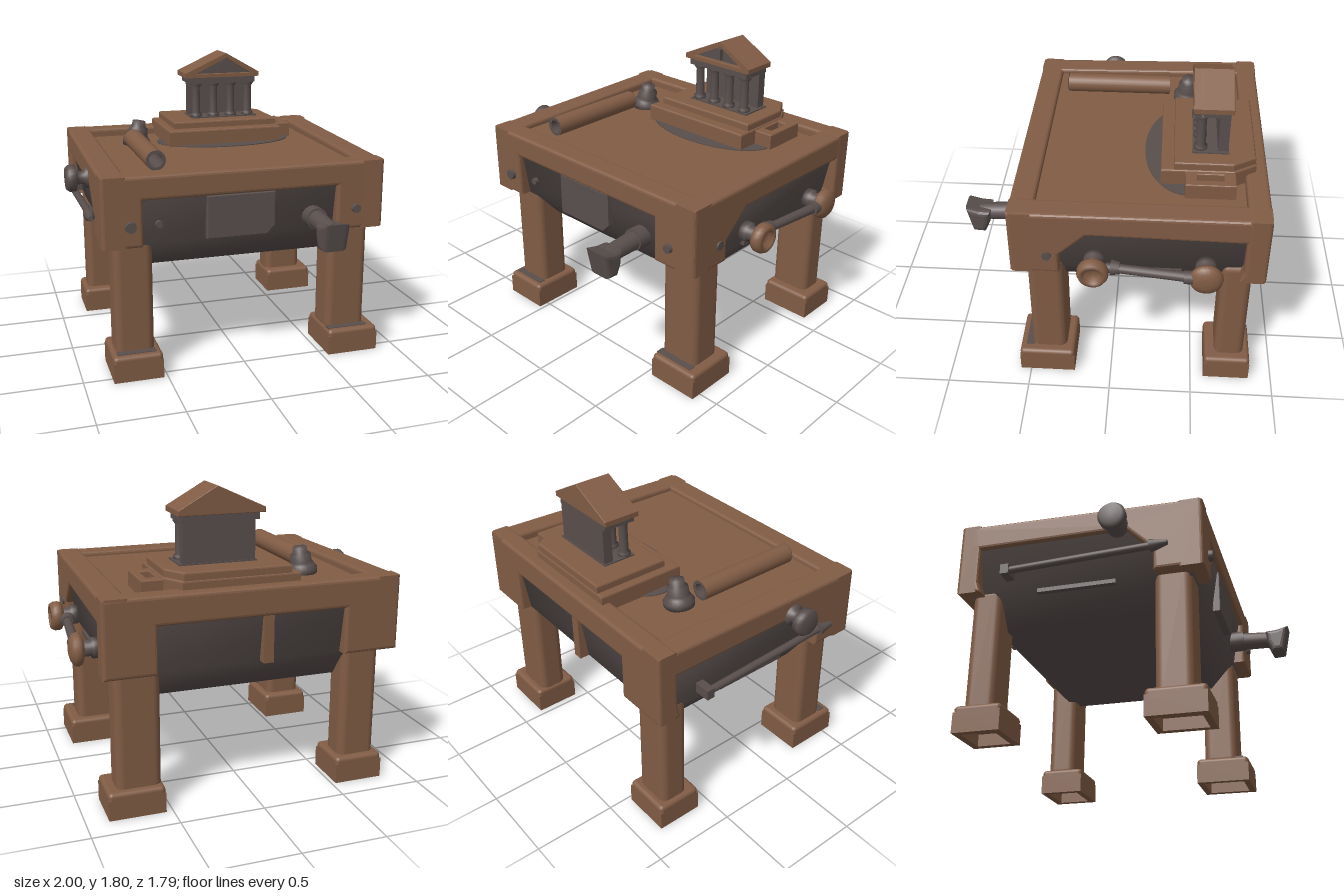
import * as THREE from 'three';
import { RoundedBoxGeometry } from 'three/addons/geometries/RoundedBoxGeometry.js';

const wood = new THREE.MeshStandardMaterial({ color: 0x815c45 });
wood.name = 'brown wood';
const iron = new THREE.MeshStandardMaterial({ color: 0x594f4d, side: THREE.DoubleSide });
iron.name = 'grey iron';

const V = (x, y, z) => new THREE.Vector3(x, y, z);

export function createModel() {
  const model = new THREE.Group();
  model.name = 'table';

  const add = (name, geo, mat, x = 0, y = 0, z = 0) => {
    const m = new THREE.Mesh(geo, mat);
    m.name = name;
    m.position.set(x, y, z);
    model.add(m);
    return m;
  };
  // box given by its limits, optionally rounded
  const box = (name, mat, x0, x1, y0, y1, z0, z1, r = 0) => {
    const s = [x1 - x0, y1 - y0, z1 - z0];
    const geo = r ? new RoundedBoxGeometry(...s, 3, r) : new THREE.BoxGeometry(...s);
    return add(name, geo, mat, (x0 + x1) / 2, (y0 + y1) / 2, (z0 + z1) / 2);
  };
  const shape = (pts) => new THREE.Shape(pts.map((p) => new THREE.Vector2(...p)));
  // bevelled slab from z = 0 to z = depth, outline kept exact
  const slab = (s, depth, bevel) => {
    const g = new THREE.ExtrudeGeometry(s, {
      depth: depth - 2 * bevel, bevelEnabled: bevel > 0, bevelSize: bevel,
      bevelThickness: bevel, bevelOffset: -bevel, bevelSegments: 3,
    });
    return g.translate(0, 0, bevel);
  };
  const lathe = (pts, n = 24) => new THREE.LatheGeometry(pts.map((p) => new THREE.Vector2(...p)), n);
  const rod = (name, mat, a, b, r0, r1 = r0) => {
    const d = b.clone().sub(a);
    const m = add(name, new THREE.CylinderGeometry(r1, r0, d.length(), 16), mat);
    m.position.copy(a).addScaledVector(d, 0.5);
    m.quaternion.setFromUnitVectors(V(0, 1, 0), d.normalize());
  };
  // turned part pointing sideways out of the table, dir = 1 or -1
  const sideTurned = (name, mat, pts, dir, x, y, z) => {
    add(name, lathe(pts), mat, x, y, z).rotation.z = -dir * Math.PI / 2;
  };

  // frame walls, notched below for the sunken panels; the top rises slightly to the back
  const B = 0.83, P = 1.105, TF = 1.25, TB = 1.275;
  const endWall = (l, r, end, t) => shape([[-0.87, B], [l, B], [l, P], [r, P], [r, B], [end, B], [end, t], [-0.87, t]]);
  add('frontWall', slab(endWall(-0.63, 0.56, 0.862, TF), 0.145, 0.02), wood, 0, 0, 0.43);
  add('backWall', slab(endWall(-0.53, 0.58, 0.885, TB), 0.13, 0.02), wood, 0, 0, -0.89);
  const sideWall = shape([[-0.575, B], [-0.29, B], [-0.29, 0.96], [-0.13, P + 0.01], [0.78, P + 0.01],
    [0.78, 0.96], [0.74, B], [0.87, B], [0.89, 0.86], [0.89, TB], [-0.575, TF]]);
  for (const [x, skew] of [[-0.87, 0], [0.72, -0.017]]) {
    add('sideWall', slab(sideWall, 0.15, 0.02), wood, x).rotation.y = Math.PI / 2 + skew;
  }
  box('backDivider', wood, -0.09, -0.03, B, 1.12, -0.88, -0.8);

  // sunken table top with a grey patch around the building
  box('tableTop', wood, -0.75, 0.76, 1.12, 1.22, -0.8, 0.46);
  const patch = add('topPatch', new THREE.CylinderGeometry(1, 1, 0.006, 40), iron, 0.14, 1.224, -0.43);
  patch.scale.set(0.46, 1, 0.26);

  // underbody: smooth skin over rectangular cross-sections [y, half width, back z, front z]
  const rings = [[1.12, 0.845, -0.865, 0.545], [0.83, 0.79, -0.82, 0.5], [0.65, 0.66, -0.69, 0.34]];
  const pos = rings.flatMap(([y, w, b, f]) => [-w, y, f, w, y, f, w, y, b, -w, y, b]);
  const idx = [8, 11, 10, 8, 10, 9];
  for (let i = 0; i < 2; i++) {
    for (let k = 0; k < 4; k++) {
      const u0 = i * 4 + k, u1 = i * 4 + (k + 1) % 4;
      idx.push(u0 + 4, u1 + 4, u1, u0 + 4, u1, u0);
    }
  }
  const hull = new THREE.BufferGeometry();
  hull.setAttribute('position', new THREE.Float32BufferAttribute(pos, 3));
  hull.setIndex(idx);
  hull.computeVertexNormals();
  add('underbody', hull, iron);
  for (const s of [-1, 1]) box('underbodyLip', iron, s * 0.78 - 0.03, s * 0.78 + 0.03, 0.81, 0.835, -0.41, 0.06);

  // legs with hollow feet: side [leg x0, x1, foot x0, x1], row [leg z0, z1, foot z0, z1]
  for (const [x0, x1, g0, g1] of [[-0.795, -0.56, -0.825, -0.525], [0.55, 0.812, 0.54, 0.87]]) {
    for (const [z0, z1, f0, f1] of [[0.275, 0.49, 0.225, 0.565], [-0.82, -0.64, -0.86, -0.58]]) {
      box('leg', wood, x0, x1, 0.12, 0.88, z0, z1, 0.045);
      box('footTop', wood, g0, g1, 0.07, 0.16, f0, f1, 0.025);
      const w = (g1 - g0) / 2, d = (f1 - f0) / 2, t = 0.04;
      const rim = shape([[-w, -d], [w, -d], [w, d], [-w, d]]);
      rim.holes.push(shape([[t - w, t - d], [t - w, d - t], [w - t, d - t], [w - t, t - d]]));
      add('footRim', slab(rim, 0.12, 0), wood, (g0 + g1) / 2, 0, (f0 + f1) / 2).rotation.x = -Math.PI / 2;
    }
    box('footPlate', iron, x0, x1, 0.156, 0.164, 0.48, 0.53);
  }

  // front plate, flat studs and handle
  add('frontPlate', slab(shape([[-0.25, 0.84], [0.12, 0.84], [0.17, 0.89], [0.17, 1.1], [-0.25, 1.1]]), 0.05, 0.006), iron, 0, 0, 0.505);
  for (const [x, y, z, r] of [[-0.705, 0.96, 0.6, 0.037], [0.68, 0.96, 0.6, 0.03], [-0.53, 0.95, 0.545, 0.025]]) {
    rod('stud', iron, V(x, y, z - 0.06), V(x, y, z), r, r * 0.85);
  }
  rod('stud', iron, V(0.83, 0.96, 0.36), V(0.875, 0.96, 0.36), 0.027);
  rod('handleCollar', iron, V(0.42, 0.915, 0.4), V(0.42, 0.92, 0.6), 0.066);
  rod('handleStem', iron, V(0.42, 0.92, 0.5), V(0.42, 0.905, 0.82), 0.06, 0.05);
  const grip = shape([[-0.9, 0.97], [-0.865, 0.8], [-0.79, 0.795], [-0.76, 0.865], [-0.75, 0.945], [-0.82, 0.95]]);
  add('handleGrip', slab(grip, 0.16, 0.03), iron, 0.34).rotation.y = Math.PI / 2;

  // knobs and rod on the left side
  const stalk = [[0, 0], [0.06, 0], [0.06, 0.04], [0.045, 0.05], [0.045, 0.11], [0, 0.11]];
  const ringKnob = [[0, 0], [0.06, 0], [0.085, 0.015], [0.09, 0.03], [0.09, 0.055], [0.078, 0.078], [0.052, 0.08], [0.045, 0.05], [0, 0.05]];
  const roundKnob = [[0, 0], [0.06, 0], [0.088, 0.012], [0.097, 0.032], [0.09, 0.055], [0.066, 0.072], [0.035, 0.08], [0, 0.082]];
  for (const [z, y, profile] of [[0.09, 0.935, ringKnob], [-0.545, 0.915, roundKnob]]) {
    sideTurned('knobStalk', iron, stalk, 1, 0.83, y, z);
    sideTurned('knob', wood, profile, 1, 0.92, y, z);
  }
  rod('sideRod', iron, V(0.91, 0.935, 0.02), V(0.95, 0.92, -0.47), 0.026, 0.03);
  rod('rodCollar', iron, V(0.91, 0.935, -0.01), V(0.915, 0.935, -0.06), 0.045, 0.035);
  rod('rodCollar', iron, V(0.95, 0.92, -0.42), V(0.95, 0.92, -0.47), 0.038);

  // knob and long bar on the right side
  sideTurned('rightKnob', iron, [[0, 0], [0.065, 0], [0.065, 0.05], [0.04, 0.06], [0.04, 0.1],
    [0.08, 0.11], [0.082, 0.15], [0.065, 0.17], [0, 0.17]], -1, -0.83, 1.145, 0.08);
  rod('longBar', iron, V(-0.89, 0.93, -0.58), V(-0.89, 0.97, 0.34), 0.022);
  box('barEnd', iron, -0.92, -0.82, 0.9, 0.96, -0.6, -0.55);
  rod('barTip', iron, V(-0.892, 0.965, 0.28), V(-0.9, 0.97, 0.38), 0.038, 0.015);

  // rolled scroll with grey ends, and little bell
  const roll = lathe([[0.042, 0], [0.06, 0], [0.06, 0.67], [0.042, 0.67]]);
  add('scroll', roll, wood, -0.505, 1.285, -0.31).rotation.x = Math.PI / 2;
  const inner = new THREE.CylinderGeometry(0.042, 0.042, 0.67, 24, 1, true);
  add('scrollInside', inner, iron, -0.505, 1.285, 0.025).rotation.x = Math.PI / 2;
  for (const z of [-0.313, 0.363]) add('scrollEnd', new THREE.RingGeometry(0.042, 0.06, 24), iron, -0.505, 1.285, z);
  add('bell', lathe([[0, 0], [0.09, 0], [0.093, 0.035], [0.075, 0.06], [0.066, 0.075], [0.062, 0.12],
    [0.045, 0.13], [0.043, 0.165], [0, 0.17]]), iron, -0.465, 1.215, -0.43).rotation.z = -0.15;

  // stepped base with one cut corner, and a slotted side block
  const step = (name, l, r, front, back, y, h) => {
    const s = shape([[l, front], [r, front], [r, back - 0.13], [r - 0.08, back], [l, back]]);
    add(name, slab(s, h, 0.012), wood, 0, y, 0).rotation.x = -Math.PI / 2;
  };
  step('lowerStep', -0.27, 0.5, 0.27, 0.82, 1.2, 0.125);
  step('upperStep', -0.22, 0.49, 0.345, 0.815, 1.3, 0.07);
  const block = shape([[0.47, 0.41], [0.62, 0.41], [0.62, 0.7], [0.47, 0.7]]);
  block.holes.push(shape([[0.515, 0.48], [0.515, 0.63], [0.57, 0.63], [0.57, 0.48]]));
  add('sideBlock', slab(block, 0.11, 0.008), wood, 0, 1.205, 0).rotation.x = -Math.PI / 2;

  // columned building
  box('buildingFloor', iron, -0.07, 0.39, 1.36, 1.378, -0.66, -0.45);
  box('backPanel', iron, -0.06, 0.37, 1.37, 1.64, -0.655, -0.595);
  box('beam', iron, -0.085, 0.375, 1.605, 1.66, -0.655, -0.455);
  for (let i = 0; i < 4; i++) {
    add('column', lathe([[0, 0], [0.04, 0], [0.04, 0.025], [0.028, 0.035], [0.026, 0.205], [0.04, 0.225], [0.04, 0.25], [0, 0.25]], 16),
      iron, -0.03 + i * 0.122, 1.37, -0.495);
  }

  // gable roof with a sunken front
  const gable = [[-0.115, 1.645], [0.4, 1.645], [0.4, 1.675], [0.17, 1.805], [-0.115, 1.675]];
  add('roof', slab(shape(gable), 0.18, 0.004), wood, 0, 0, -0.67);
  const trim = shape(gable);
  trim.holes.push(shape([[-0.05, 1.668], [0.17, 1.775], [0.345, 1.668]]));
  add('roofTrim', slab(trim, 0.05, 0), wood, 0, 0, -0.492);
  add('gablePanel', slab(shape([[-0.05, 1.668], [0.345, 1.668], [0.17, 1.775]]), 0.008, 0), iron, 0, 0, -0.49);
  box('gableOrnament', iron, 0.12, 0.16, 1.68, 1.75, -0.49, -0.455);

  return model;
}
